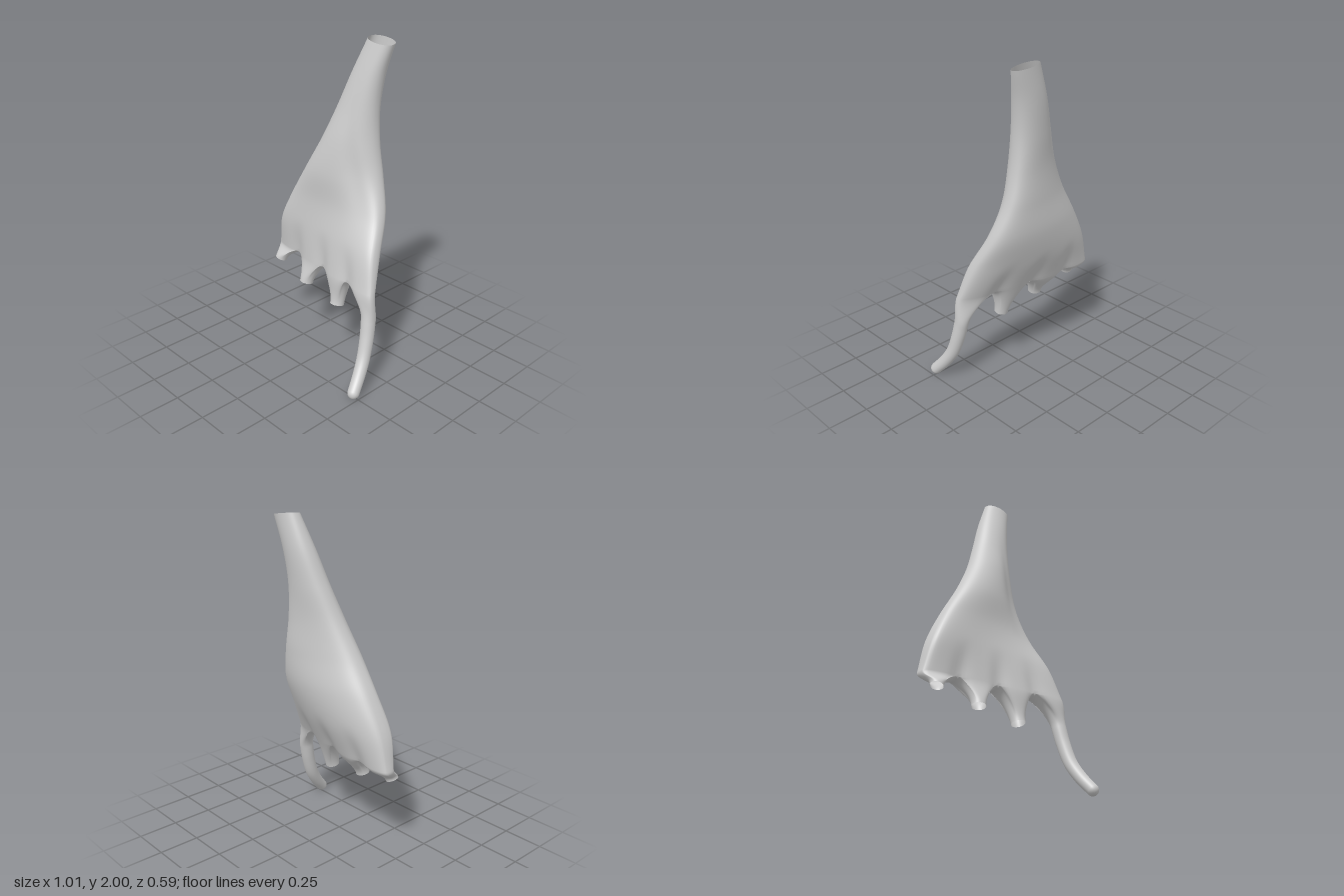
import * as THREE from 'three';
import { mergeVertices } from 'three/addons/utils/BufferGeometryUtils.js';

// Sleeve sections every 0.2 down from y = 2: left x, right x, z at left / middle / right, half thickness
const SECTIONS = [
  [0.085, 0.26, -0.234, -0.234, -0.234, 0.06],
  [0.005, 0.217, -0.2, -0.2, -0.2, 0.08],
  [-0.065, 0.2, -0.16, -0.165, -0.18, 0.093],
  [-0.145, 0.213, -0.115, -0.13, -0.175, 0.107],
  [-0.25, 0.255, -0.08, -0.115, -0.165, 0.12],
  [-0.365, 0.325, -0.07, -0.115, -0.11, 0.12],
  [-0.46, 0.385, -0.06, -0.08, -0.005, 0.11],
  [-0.508, 0.43, -0.07, -0.025, 0.065, 0.078],
];
const SPLITS = [0, 0.23, 0.51, 0.775, 1]; // where the webs between branches sit across the width
const K = 12, M = 7, ROWS = 60, STEPS = 18, BASE = 0.6;

// Branch ends: centre, axis, radius
const BRANCHES = [
  { c: [-0.445, 0.506, 0.01], axis: [-0.28, -1, 0.2], r: 0.038 },
  { c: [-0.175, 0.443, 0.035], axis: [-0.12, -1, 0.2], r: 0.042 },
  { c: [0.11, 0.4, 0.042], axis: [0.03, -1, 0.25], r: 0.043 },
  { c: [0.403, 0.42, 0.073], axis: [0.06, -1, 0.2], r: 0.044 },
];
const V = (a) => new THREE.Vector3(...a);

// Catmull-Rom interpolation of the section table, extended straight past its ends
function section(y) {
  const p = (2 - y) / 0.2, last = SECTIONS.length - 1;
  const i = Math.min(Math.floor(p), last - 1), t = p - i;
  return SECTIONS[0].map((_, k) => {
    const b = SECTIONS[i][k], c = SECTIONS[i + 1][k];
    const a = i > 0 ? SECTIONS[i - 1][k] : 2 * b - c;
    const d = i + 2 <= last ? SECTIONS[i + 2][k] : 2 * c - b;
    return b + 0.5 * t * (c - a + t * (2 * a - 5 * b + 4 * c - d + t * (3 * (b - c) + d - a)));
  });
}

// Fraction across the width, tightened near the two rounded sides
function fraction(j) {
  const s = Math.min(3, Math.floor(j / K)), t = j / K - s;
  const e = s === 0 ? 1 - Math.cos(t * Math.PI / 2) : s === 3 ? Math.sin(t * Math.PI / 2) : t;
  return SPLITS[s] + (SPLITS[s + 1] - SPLITS[s]) * e;
}

// Point on the sleeve: side +1 is the front sheet, -1 the back sheet
function sleeve(j, y, side) {
  const [xl, xr, zl, zm, zr, th] = section(y);
  const f = fraction(j), u = 2 * f - 1;
  // both sides get blunter towards the bottom, the left one more
  const blunt = (u < 0 ? 0.2 : 0.1) * (1 - THREE.MathUtils.smoothstep(y, 0.75, 1.3));
  let round = Math.pow(Math.max(0, 1 - u * u), 0.45 - blunt);
  // pinch the sheets together above each web
  const low = 1 - THREE.MathUtils.smoothstep(y, 0.5, 0.85);
  for (const s of SPLITS.slice(1, 4)) round *= 1 - 0.36 * low * Math.exp(-(((f - s) / 0.06) ** 2));
  const x = xl + (xr - xl) * f;
  let z = zm + u * (zr - zl) / 2 + u * u * ((zl + zr) / 2 - zm) + side * th * round;
  // shallow diagonal fold down the front
  const fold = 0.8 - 0.4 * (y - 1.2);
  if (side > 0) z -= 0.017 * round * Math.exp(-(((f - fold) / 0.12) ** 2) - (((y - 1.2) / 0.26) ** 2));
  // the open top leans to the right and forwards
  const lean = Math.max(0, (y - 1.6) / 0.4) ** 2;
  return new THREE.Vector3(x, y - lean * (0.15 * (x - xl) + 0.1 * (z - zm)), z);
}

// Point on a round ring across an axis
function ringPoint(c, axis, r, angle) {
  const x = new THREE.Vector3(1, 0, 0).addScaledVector(axis, -axis.x).normalize();
  const z = new THREE.Vector3().crossVectors(axis, x);
  return c.clone().addScaledVector(x, r * Math.cos(angle)).addScaledVector(z, r * Math.sin(angle));
}

function hermite(p, tp, q, tq, t) {
  const a = t * t, b = a * t;
  return new THREE.Vector3()
    .addScaledVector(p, 2 * b - 3 * a + 1).addScaledVector(tp, b - 2 * a + t)
    .addScaledVector(q, 3 * a - 2 * b).addScaledVector(tq, b - a);
}

// Closed loop around one branch where it leaves the sleeve, with starting directions and ring angles
function branchBase(i) {
  const a = i * K, b = a + K, pts = [], dirs = [];
  // sheets run on downwards, turning sideways into the arch next to a web
  const sheet = (j, side) => {
    const p = sleeve(j, BASE, side);
    const h = 1 - 2 * (j - a) / K;
    const turn = (h > 0 && i > 0) || (h < 0 && i < 3) ? h ** 3 : 0;
    const down = p.clone().sub(sleeve(j, BASE + 0.04, side)).normalize();
    pts.push(p);
    dirs.push(down.multiplyScalar(1 - 0.9 * Math.abs(turn)).add(new THREE.Vector3(0.8 * turn, 0, 0)));
  };
  const web = (j, inward, reverse) => {
    const f = sleeve(j, BASE, 1), k = sleeve(j, BASE, -1);
    for (let n = 1; n <= M; n++) {
      const t = (reverse ? M + 1 - n : n) / (M + 1);
      const p = f.clone().lerp(k, t);
      p.y -= 0.02 * Math.sin(t * Math.PI);
      pts.push(p);
      dirs.push(new THREE.Vector3(0.8 * inward, -0.1, 0));
    }
  };
  for (let j = a; j <= b; j++) sheet(j, 1);
  if (i < 3) web(b, -1, false);
  for (let j = i < 3 ? b : b - 1; j >= (i > 0 ? a : 1); j--) sheet(j, -1);
  if (i > 0) web(a, 1, true);

  // angles are measured with the sideways slant of the loop taken out
  const middle = (j) => sleeve(j, BASE, 1).lerp(sleeve(j, BASE, -1), 0.5);
  const l = middle(a), r = middle(b), slope = (r.z - l.z) / (r.x - l.x);
  const flat = pts.map((p) => new THREE.Vector3(p.x, 0, p.z - slope * p.x));
  const box = new THREE.Box3().setFromPoints(flat);
  const mid = box.getCenter(new THREE.Vector3()), size = box.getSize(new THREE.Vector3());
  const angles = flat.map((p) => Math.atan2((p.z - mid.z) / size.z, (p.x - mid.x) / size.x));
  return { pts, dirs, angles };
}

export function createModel() {
  const position = [], index = [];
  // Skin a list of equal closed loops running downwards
  const skin = (loops) => {
    const start = position.length / 3, n = loops[0].length;
    loops.forEach((l) => l.forEach((p) => position.push(p.x, p.y, p.z)));
    for (let r = 0; r < loops.length - 1; r++) {
      for (let j = 0; j < n; j++) {
        const a = start + r * n + j, b = start + r * n + (j + 1) % n;
        index.push(a, a + n, b, b, a + n, b + n);
      }
    }
  };

  // Sleeve, open at the top
  const body = [];
  for (let r = 0; r <= ROWS; r++) {
    const y = 2 + (BASE - 2) * r / ROWS, loop = [];
    for (let j = 0; j <= 4 * K; j++) loop.push(sleeve(j, y, 1));
    for (let j = 4 * K - 1; j > 0; j--) loop.push(sleeve(j, y, -1));
    body.push(loop);
  }
  skin(body);

  // Three open stubs and the long tail
  BRANCHES.forEach((branch, i) => {
    const { pts, dirs, angles } = branchBase(i);
    const c = V(branch.c), axis = V(branch.axis).normalize();
    const ends = angles.map((g) => ringPoint(c, axis, branch.r, g));
    const loops = [];
    for (let s = 0; s <= STEPS; s++) {
      loops.push(pts.map((p, n) => {
        const len = p.distanceTo(ends[n]);
        return hermite(p, dirs[n].clone().multiplyScalar(len), ends[n], axis.clone().multiplyScalar(len), s / STEPS);
      }));
    }
    if (i === 3) {
      const path = new THREE.CatmullRomCurve3([
        c, V([0.414, 0.32, 0.095]), V([0.428, 0.2, 0.136]), V([0.447, 0.11, 0.193]), V([0.468, 0.036, 0.257]),
      ]);
      for (let s = 1; s <= 24; s++) {
        const t = s / 24, p = path.getPoint(t);
        const dir = axis.clone().lerp(path.getTangent(t), Math.min(1, t * 5)).normalize();
        loops.push(angles.map((g) => ringPoint(p, dir, 0.044 - 0.008 * t, g)));
      }
      // rounded tip
      const tip = path.getPoint(1), dir = path.getTangent(1);
      for (let s = 1; s <= 6; s++) {
        const h = s / 6 * Math.PI / 2;
        const p = tip.clone().addScaledVector(dir, 0.036 * Math.sin(h));
        loops.push(angles.map((g) => ringPoint(p, dir, 0.036 * Math.cos(h), g)));
      }
    }
    skin(loops);
  });

  let geometry = new THREE.BufferGeometry();
  geometry.setAttribute('position', new THREE.Float32BufferAttribute(position, 3));
  geometry.setIndex(index);
  geometry = mergeVertices(geometry, 1e-5);
  geometry.computeVertexNormals();

  const material = new THREE.MeshStandardMaterial({ color: 0xcccccc, side: THREE.DoubleSide });
  material.name = 'light grey';
  const mesh = new THREE.Mesh(geometry, material);
  mesh.name = 'branchingSleeve';
  const group = new THREE.Group();
  group.name = 'sleeveWithTail';
  group.add(mesh);
  return group;
}
